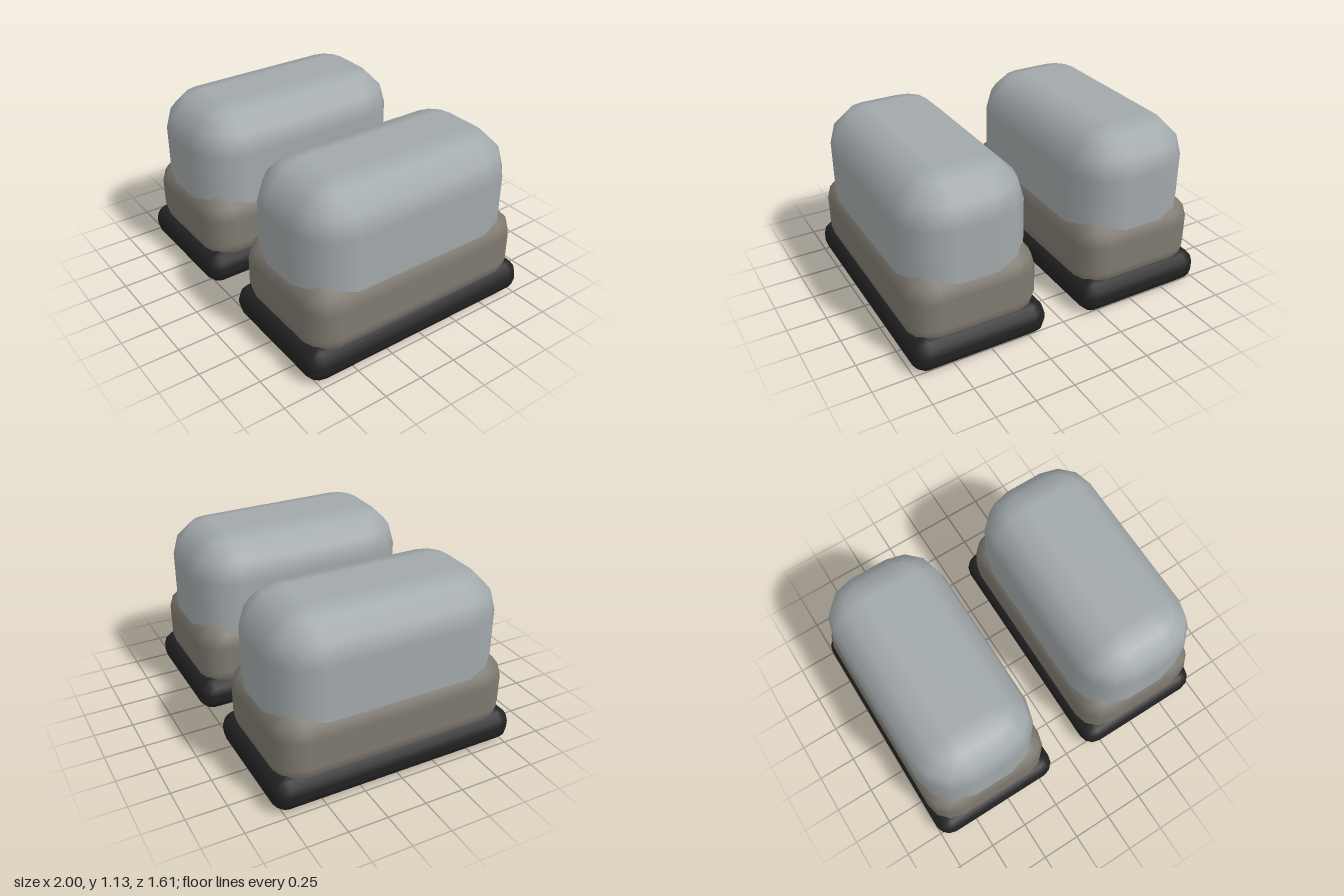
import * as THREE from 'three';

const STEPS = 3; // facets per rounded quarter

// Box with evenly rounded edges and smooth normals, standing on y = y0
function bevelBox(w, d, y0, y1, r) {
  const hx = w / 2 - r, hz = d / 2 - r, hy = (y1 - y0) / 2 - r, cy = (y0 + y1) / 2;
  const pos = [], nor = [], idx = [];
  const quarter = Math.PI / 2;
  const add = (sx, sy, sz, nx, ny, nz) => {
    pos.push(sx * hx + r * nx, cy + sy * hy + r * ny, sz * hz + r * nz);
    nor.push(nx, ny, nz);
  };

  // Rings from bottom to top, each a rounded rectangle
  const ring = 4 * (STEPS + 1);
  for (const sy of [-1, 1]) {
    for (let j = 0; j <= STEPS; j++) {
      const phi = (sy < 0 ? j / STEPS - 1 : j / STEPS) * quarter;
      for (let q = 0; q < 4; q++) {
        const sx = q === 0 || q === 3 ? 1 : -1, sz = q < 2 ? 1 : -1;
        for (let i = 0; i <= STEPS; i++) {
          const a = (q + i / STEPS) * quarter;
          add(sx, sy, sz, Math.cos(phi) * Math.cos(a), Math.sin(phi), Math.cos(phi) * Math.sin(a));
        }
      }
    }
  }
  const rows = 2 * (STEPS + 1);
  for (let j = 0; j < rows - 1; j++) {
    for (let i = 0; i < ring; i++) {
      const a = j * ring + i, b = j * ring + (i + 1) % ring;
      idx.push(a, a + ring, b, b, a + ring, b + ring);
    }
  }

  // Flat bottom and top
  for (const sy of [-1, 1]) {
    const k = pos.length / 3;
    for (const [sx, sz] of [[1, 1], [-1, 1], [-1, -1], [1, -1]]) add(sx, sy, sz, 0, sy, 0);
    if (sy > 0) idx.push(k, k + 2, k + 1, k, k + 3, k + 2);
    else idx.push(k, k + 1, k + 2, k, k + 2, k + 3);
  }

  const g = new THREE.BufferGeometry();
  g.setAttribute('position', new THREE.Float32BufferAttribute(pos, 3));
  g.setAttribute('normal', new THREE.Float32BufferAttribute(nor, 3));
  g.setIndex(idx);
  return g;
}

export function createModel() {
  const mat = (name, color) => {
    const m = new THREE.MeshStandardMaterial({ color });
    m.name = name;
    return m;
  };
  // name, geometry (width, depth, bottom, top, edge radius), material
  const parts = [
    ['sole', bevelBox(0.87, 1.61, 0, 0.217, 0.095), mat('black rubber', 0x222222)],
    ['cuff', bevelBox(0.827, 1.526, 0.1, 0.605, 0.165), mat('warm grey', 0x7f7a70)],
    ['upper', bevelBox(0.783, 1.482, 0.01, 1.13, 0.267), mat('light grey', 0xa2a9ab)],
  ];

  const model = new THREE.Group();
  model.name = 'bootPair';
  for (const [side, name] of [[1, 'leftBoot'], [-1, 'rightBoot']]) {
    const boot = new THREE.Group();
    boot.name = name;
    boot.position.x = side * 0.565;
    for (const [partName, geometry, material] of parts) {
      const mesh = new THREE.Mesh(geometry, material);
      mesh.name = partName;
      boot.add(mesh);
    }
    model.add(boot);
  }
  return model;
}
